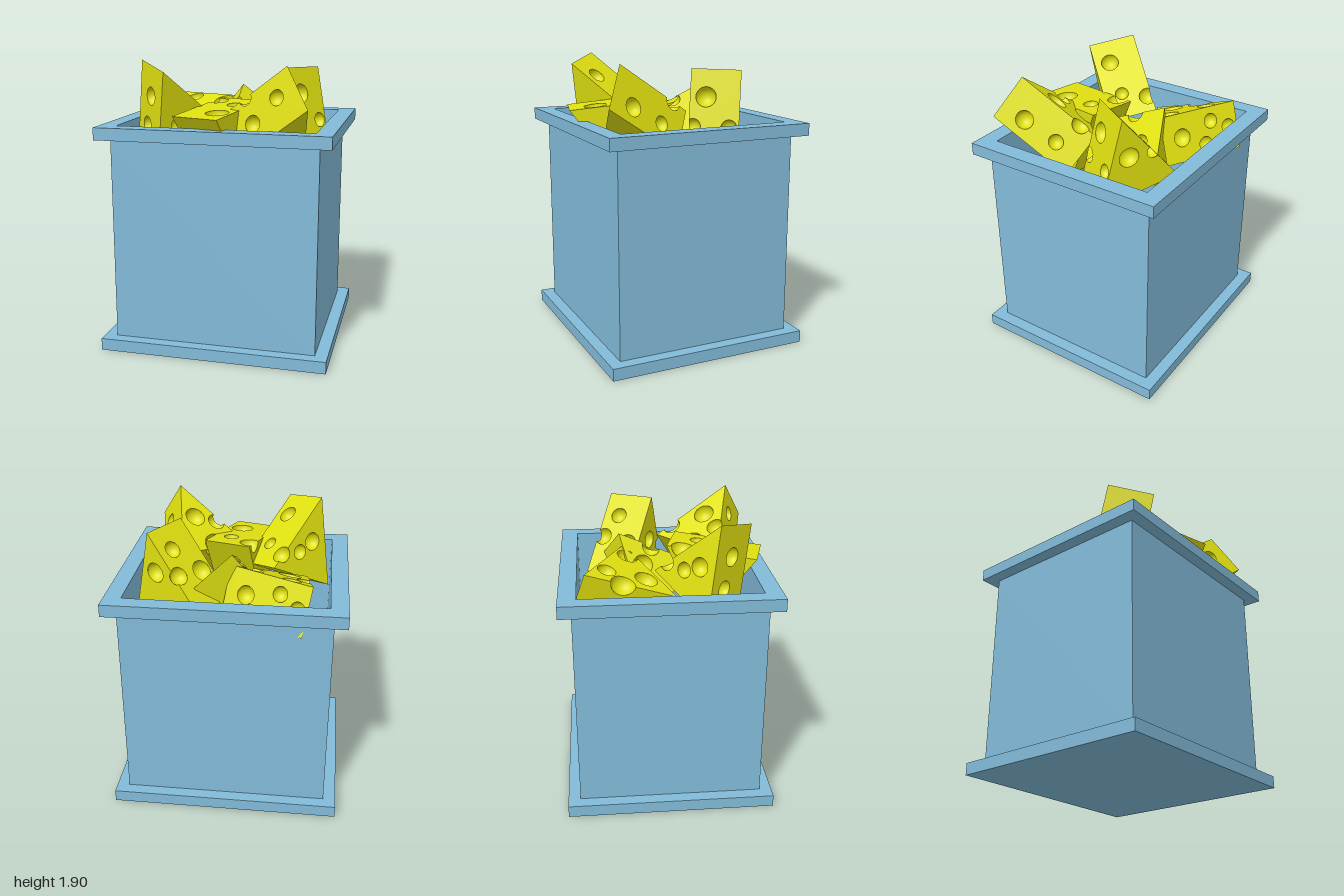
import * as THREE from 'three';
import { mergeGeometries } from 'three/addons/utils/BufferGeometryUtils.js';

const blue = new THREE.MeshStandardMaterial({ color: 0x82bbd9 });
const yellow = new THREE.MeshStandardMaterial({ color: 0xe0e010 });
const V = (a) => new THREE.Vector3(...a);
const THICKNESS = 0.32;

// Rectangular frame (outer w x d, open middle) standing from y0 to y1
function frame(w, d, holeW, holeD, y0, y1) {
  const rect = (a, b, T) => new T([[-1, -1], [1, -1], [1, 1], [-1, 1]]
    .map(([x, y]) => new THREE.Vector2(x * a / 2, y * b / 2)));
  const shape = rect(w, d, THREE.Shape);
  shape.holes.push(rect(holeW, holeD, THREE.Path));
  return new THREE.ExtrudeGeometry(shape, { depth: y1 - y0, bevelEnabled: false })
    .rotateX(-Math.PI / 2).translate(0, y0, 0);
}

// Points on a clockwise arc
function arc(c, r, a1, a2, n) {
  return Array.from({ length: n + 1 }, (_, i) => {
    const a = a1 + (a2 - a1) * i / n;
    return new THREE.Vector2(c.x + r * Math.cos(a), c.y + r * Math.sin(a));
  });
}

// Flat face with every sphere that meets it cut away, as a hole or as an edge bite
function cutFace(face, spheres) {
  const { loop, n } = face;
  const ex = loop[1].clone().sub(loop[0]).normalize();
  const ey = n.clone().cross(ex);
  const flat = (p) => {
    const q = p.clone().sub(loop[0]);
    return new THREE.Vector2(q.dot(ex), q.dot(ey));
  };
  const pts = loop.map(flat);
  const discs = [];
  for (const s of spheres) {
    const h = s.c.clone().sub(loop[0]).dot(n);
    if (Math.abs(h) < s.r) discs.push({ c: flat(s.c), r: Math.sqrt(s.r * s.r - h * h), bite: false });
  }
  const outline = [];
  pts.forEach((a, i) => {
    const e = pts[(i + 1) % pts.length].clone().sub(a);
    const len = e.length();
    e.divideScalar(len);
    outline.push(a);
    const cuts = [];
    for (const d of discs) {
      const rel = d.c.clone().sub(a);
      const along = rel.dot(e), off = rel.cross(e);
      const half = Math.sqrt(Math.max(0, d.r * d.r - off * off));
      if (half > 0 && along - half > 0 && along + half < len) cuts.push({ d, along, half });
    }
    cuts.sort((p, q) => p.along - q.along);
    for (const { d, along, half } of cuts) {
      d.bite = true;
      const [a1, b] = [along - half, along + half].map((t) => {
        const p = a.clone().addScaledVector(e, t).sub(d.c);
        return Math.atan2(p.y, p.x);
      });
      outline.push(...arc(d.c, d.r, a1, b > a1 ? b - 2 * Math.PI : b, 16));
    }
  });
  const shape = new THREE.Shape(outline);
  const inside = (c) => pts.every((a, i) => pts[(i + 1) % pts.length].clone().sub(a).cross(c.clone().sub(a)) > 0);
  for (const d of discs) {
    if (!d.bite && inside(d.c)) shape.holes.push(new THREE.Path(arc(d.c, d.r, 0, -2 * Math.PI, 28).slice(0, -1)));
  }
  const g = new THREE.ShapeGeometry(shape).toNonIndexed();
  g.deleteAttribute('uv');
  return g.applyMatrix4(new THREE.Matrix4().makeBasis(ex, ey, n).setPosition(loop[0]));
}

// The part of a sphere that lies inside the wedge, facing inwards
function bowl({ c, r }, faces) {
  const src = new THREE.SphereGeometry(r, 28, 18).toNonIndexed().getAttribute('position');
  const pos = [], nor = [];
  for (let i = 0; i < src.count; i += 3) {
    let poly = [0, 1, 2].map((k) => new THREE.Vector3().fromBufferAttribute(src, i + k).add(c));
    for (const { loop, n } of faces) {
      const out = [];
      poly.forEach((p, k) => {
        const q = poly[(k + 1) % poly.length];
        const dp = p.clone().sub(loop[0]).dot(n), dq = q.clone().sub(loop[0]).dot(n);
        if (dp <= 0) out.push(p);
        if (dp * dq < 0) out.push(p.clone().lerp(q, dp / (dp - dq)));
      });
      poly = out;
    }
    for (let k = 1; k + 1 < poly.length; k++) {
      for (const p of [poly[0], poly[k + 1], poly[k]]) {
        pos.push(p.x, p.y, p.z);
        const m = c.clone().sub(p).normalize();
        nor.push(m.x, m.y, m.z);
      }
    }
  }
  const g = new THREE.BufferGeometry();
  g.setAttribute('position', new THREE.Float32BufferAttribute(pos, 3));
  g.setAttribute('normal', new THREE.Float32BufferAttribute(nor, 3));
  return g;
}

// Cheese wedge: apex corner, two legs, and holes [along leg 1, along leg 2, through thickness, radius]
function wedge(name, apex, leg1, leg2, holes) {
  const P = V(apex), d1 = V(leg1), d2 = V(leg2);
  const axis = d1.clone().cross(d2).normalize().multiplyScalar(-THICKNESS);
  const top = [P, P.clone().add(d1), P.clone().add(d2)];
  const low = top.map((p) => p.clone().add(axis));
  const loops = [top, [low[0], low[2], low[1]]];
  for (let i = 0; i < 3; i++) {
    const j = (i + 1) % 3;
    loops.push([low[i], low[j], top[j], top[i]]);
  }
  const faces = loops.map((loop) => ({
    loop,
    n: loop[1].clone().sub(loop[0]).cross(loop[2].clone().sub(loop[0])).normalize(),
  }));
  const spheres = holes.map(([s, t, d, r]) => ({
    c: P.clone().addScaledVector(d1, s).addScaledVector(d2, t).addScaledVector(axis, d), r,
  }));
  const parts = [...faces.map((f) => cutFace(f, spheres)), ...spheres.map((s) => bowl(s, faces))];
  const mesh = new THREE.Mesh(mergeGeometries(parts), yellow);
  mesh.name = name;
  return mesh;
}

export function createModel() {
  const model = new THREE.Group();
  model.name = 'cheeseCrate';

  // Crate: base plate, thin walls and wide rim, turned on its vertical axis
  const crate = new THREE.Group();
  crate.name = 'crate';
  crate.rotation.y = -0.553;
  const add = (name, geometry) => {
    const mesh = new THREE.Mesh(geometry, blue);
    mesh.name = name;
    crate.add(mesh);
  };
  add('basePlate', new THREE.BoxGeometry(1.504, 0.08, 1.365).translate(0, 0.04, 0));
  add('walls', frame(1.34, 1.206, 1.28, 1.14, 0.08, 1.42));
  add('rim', frame(1.504, 1.365, 1.28, 1.14, 1.42, 1.5));
  model.add(crate);

  // Heap of wedges
  model.add(
    wedge('backWedge', [-0.18, 1.61, -0.72], [-0.26, -0.18, 0.51], [0.31, 0.01, 0.5], [
      [0.135, 0.24, 0, 0.06], [0.56, 0.25, 0, 0.075], [0.16, 0.72, 0, 0.07], [0.41, 0.02, 0, 0.08],
      [0, 0.12, 0.5, 0.05], [0, 0.35, 0.3, 0.05], [0, 0.45, 0.75, 0.05], [0, 0.75, 0.5, 0.06]]),
    wedge('rightWedge', [-0.63, 1.9, -0.03], [0.44, -0.37, -0.17], [-0.02, -0.6, -0.11], [
      [0.28, 0, 0.67, 0.06], [0.7, 0, 0.61, 0.045], [0.81, 0, 0.087, 0.06],
      [0, 0.33, 0.5, 0.06], [0, 0.66, 0.4, 0.055], [0.25, 0.3, 0, 0.06], [0.5, 0.22, 0, 0.05],
      [0.3, 0.4, 1, 0.06]]),
    wedge('frontRightWedge', [-0.53, 1.575, 0.37], [0.44, 0.06, -0.4], [0.26, -0.47, -0.24], [
      [0.29, 0, 0.69, 0.075], [0.706, 0, 0.634, 0.05], [0.836, 0, 0.1, 0.07],
      [0.3, 0.35, 1, 0.06], [0, 0.5, 0.5, 0.06], [0.35, 0.3, 0, 0.06]]),
    wedge('leftWedge', [0.32, 1.84, 0.15], [-0.19, -0.455, -0.34], [0.05, -0.58, 0.13], [
      [0.55, 0, 0.87, 0.06], [0.27, 0, 0.65, 0.055], [0.61, 0, 0.27, 0.07],
      [0, 0.3, 0.32, 0.065], [0, 0.62, 0.8, 0.05], [0, 0.62, 0.08, 0.05],
      [0.22, 0.27, 1, 0.065], [0.25, 0.3, 0, 0.06]]),
    wedge('frontWedge', [0.12, 1.89, 0.65], [0.18, -0.32, -0.47], [-0.33, -0.35, -0.35], [
      [0.286, 0.217, 0, 0.07], [0.075, 0.557, 0, 0.06], [0.42, 0.55, 0, 0.09], [0.78, 0.03, 0, 0.06],
      [0.7, 0, 0.6, 0.05], [0.29, 0, 0.65, 0.06], [0, 0.64, 0.55, 0.055], [0, 0.26, 0.4, 0.05]]),
    wedge('middleWedge', [0.14, 1.7, -0.25], [-0.37, -0.47, -0.05], [-0.27, -0.24, 0.48], [
      [0.29, 0.2, 0, 0.065], [0.02, 0.38, 0, 0.06], [0, 0.27, 0.7, 0.06], [0, 0.62, 0.6, 0.06],
      [0.3, 0.55, 0, 0.06]]),
  );
  return model;
}
